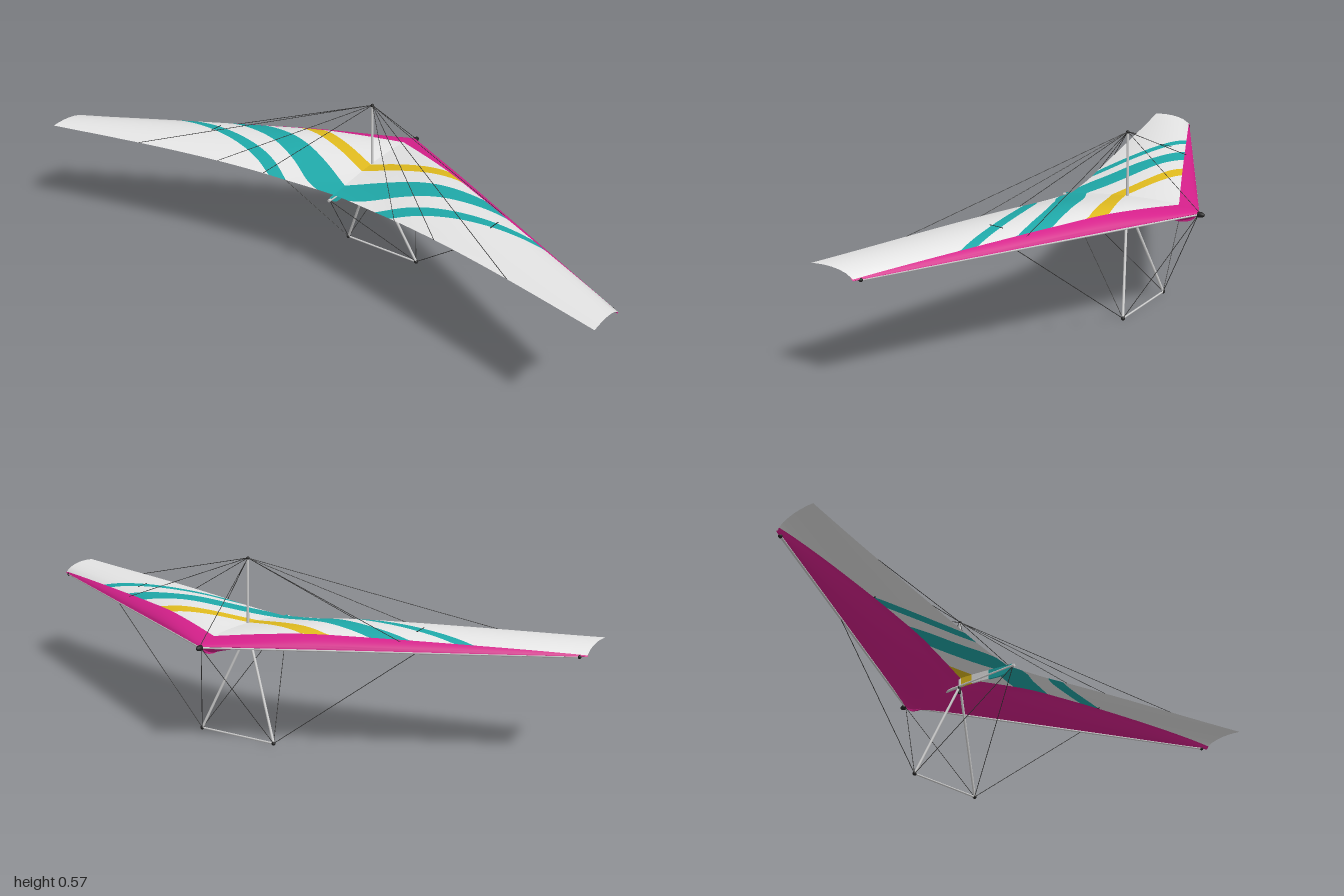
import * as THREE from 'three';

const mat = (name, color, side = THREE.FrontSide) => {
  const m = new THREE.MeshStandardMaterial({ color, side });
  m.name = name;
  return m;
};
const lerp = THREE.MathUtils.lerp;
const clamp = THREE.MathUtils.clamp;

// Smooth curve through [x, value] points, constant beyond both ends
function curve(pts) {
  const f = new THREE.CubicInterpolant(pts.map((p) => p[0]), pts.map((p) => p[1]), 1);
  return (x) => f.evaluate(x)[0];
}

// Planform and section rules, s = distance from the centre line
const leadZ = (s) => -0.325 + 0.525 * s;
const trailZ = (s) => 0.13 + 0.213 * Math.pow(s, 1.25);
const leadY = (s) => 0.342 + 0.005 * s;
const trailY = curve([[0, 0.342], [0.15, 0.349], [0.3, 0.359], [0.5, 0.367], [1, 0.373]]);
const camber = curve([[0, 0.022], [0.12, 0.035], [0.25, 0.043], [0.4, 0.039], [0.7, 0.027], [1, 0.015]]);

function sailY(s, z) {
  const c = clamp((z - leadZ(s)) / (trailZ(s) - leadZ(s)), 0, 1);
  return lerp(leadY(s), trailY(s), c) + camber(s) * Math.pow(c, 0.6) * (1 - c) / 0.347;
}

// Rear edge and height of the lower skin
const skinZ = (s) => -0.07 + 0.28 * s;
function skinY(s, z) {
  const u = clamp((z - leadZ(s)) / (skinZ(s) - leadZ(s)), 0, 1);
  const sag = 0.036 * Math.exp(-s / 0.12) + 0.002;
  return lerp(leadY(s), sailY(s, skinZ(s)) - 0.002, u * u) - sag * Math.sin(Math.PI * Math.pow(u, 0.75));
}

// Strip of cloth between two z curves on one half of the wing
function strip(zA, zB, heightAt, side, rows, front) {
  const cols = 100, pos = [], nor = [], idx = [], e = 0.004;
  for (let i = 0; i <= cols; i++) {
    const s = i / cols;
    for (let j = 0; j <= rows; j++) {
      const t = j / rows;
      const z = lerp(zA(s), zB(s), front ? t * t : t);
      pos.push(side * s, heightAt(s, z), z);
      const s0 = Math.max(s - e, 0), s1 = Math.min(s + e, 1);
      const z0 = Math.max(z - e, leadZ(s)), z1 = Math.min(z + e, trailZ(s));
      const dx = (heightAt(s1, z) - heightAt(s0, z)) / (s1 - s0);
      const dz = (heightAt(s, z1) - heightAt(s, z0)) / (z1 - z0);
      const n = new THREE.Vector3(-side * dx, 1, -dz).normalize();
      nor.push(n.x, n.y, n.z);
      if (i < cols && j < rows) {
        const a = i * (rows + 1) + j, b = a + rows + 1;
        if (side > 0) idx.push(a, a + 1, b, b, a + 1, b + 1);
        else idx.push(a, b, a + 1, b, b + 1, a + 1);
      }
    }
  }
  const g = new THREE.BufferGeometry();
  g.setAttribute('position', new THREE.Float32BufferAttribute(pos, 3));
  g.setAttribute('normal', new THREE.Float32BufferAttribute(nor, 3));
  g.setIndex(idx);
  return g;
}

// Slice of the cloth pocket that hangs around the keel, between two z positions
const pocketY = curve([[-0.315, 0.331], [-0.3, 0.317], [-0.28, 0.31], [-0.25, 0.307], [-0.23, 0.311],
  [-0.07, 0.33], [0, 0.326], [0.05, 0.32], [0.1, 0.315], [0.13, 0.319], [0.148, 0.334]]);
function pocketSlice(z0, z1) {
  const pts = [];
  for (let i = 0; i <= 10; i++) {
    const z = lerp(z0, z1, i / 10);
    pts.push(new THREE.Vector2(-z, pocketY(z)));
  }
  for (let i = 10; i >= 0; i--) {
    const z = lerp(z0, z1, i / 10);
    pts.push(new THREE.Vector2(-z, sailY(0, z) - 0.001));
  }
  const g = new THREE.ExtrudeGeometry(new THREE.Shape(pts), { depth: 0.006, bevelEnabled: false });
  return g.translate(0, 0, -0.003).rotateY(Math.PI / 2);
}

export function createModel() {
  const model = new THREE.Group();
  const white = mat('white cloth', 0xe4e4e4, THREE.DoubleSide);
  const magenta = mat('magenta cloth', 0xd4208a, THREE.DoubleSide);
  const teal = mat('teal cloth', 0x1fa8a8, THREE.DoubleSide);
  const yellow = mat('yellow cloth', 0xdfba1e, THREE.DoubleSide);
  const metal = mat('grey tubing', 0xcccccc);
  const black = mat('black fittings', 0x222222);
  const wire = mat('dark wire', 0x333333);

  const add = (name, geo, material, parent = model) => {
    const m = new THREE.Mesh(geo, material);
    m.name = name;
    parent.add(m);
    return m;
  };
  const V = (x, y, z) => new THREE.Vector3(x, y, z);
  const rod = (name, a, b, r, material, sides = 12) => {
    const d = b.clone().sub(a);
    const m = add(name, new THREE.CylinderGeometry(r, r, d.length(), sides), material);
    m.position.copy(a).add(b).multiplyScalar(0.5);
    m.quaternion.setFromUnitVectors(V(0, 1, 0), d.normalize());
  };
  const ball = (name, p, r) => {
    const m = add(name, new THREE.SphereGeometry(r, 16, 12), black);
    m.position.copy(p);
    return m;
  };

  // Edges of the coloured bands, front to back
  const bandFront = (s) => -0.255 + 0.457 * s;
  const inside = (pts) => {
    const f = curve(pts);
    return (s) => clamp(f(s), bandFront(s), trailZ(s));
  };
  const edges = [
    leadZ,
    bandFront,
    inside([[0, -0.067], [0.1, -0.103], [0.2, -0.134], [0.3, -0.157]]),
    inside([[0, -0.02], [0.1, -0.058], [0.2, -0.088], [0.3, -0.11]]),
    inside([[0, 0.073], [0.1, 0.022], [0.2, -0.018], [0.3, -0.043], [0.45, -0.064]]),
    inside([[0, 0.15], [0.1, 0.124], [0.2, 0.07], [0.32, 0.022], [0.44, -0.002], [0.58, -0.015]]),
    inside([[0.15, 0.165], [0.25, 0.108], [0.35, 0.075], [0.5, 0.051], [0.7, 0.041]]),
    inside([[0.2, 0.18], [0.3, 0.131], [0.4, 0.1], [0.53, 0.078], [0.74, 0.064]]),
    trailZ,
  ];
  const bands = [
    ['leadingEdgeBand', magenta], ['frontPanel', white], ['yellowChevron', yellow],
    ['middlePanel', white], ['wideTealBand', teal], ['rearPanel', white],
    ['narrowTealBand', teal], ['trailingPanel', white],
  ];

  for (const side of [1, -1]) {
    // Sail cloth and lower skin
    const wing = new THREE.Group();
    wing.name = side > 0 ? 'leftWing' : 'rightWing';
    model.add(wing);
    bands.forEach(([name, m], i) =>
      add(name, strip(edges[i], edges[i + 1], sailY, side, i === 0 ? 10 : 6, i === 0), m, wing));
    add('lowerSkin', strip(leadZ, skinZ, skinY, side, 16, true), magenta, wing);

    // Leading edge tube with its tip
    const tip = V(side * 0.98, 0.345, 0.193);
    rod('leadingEdgeTube', V(0, 0.338, -0.322), tip, 0.0035, metal);
    ball('tubeTip', tip, 0.006);
    rod('sailPin', V(side * 0.53, sailY(0.53, 0.04), 0.04),
      V(side * 0.53, sailY(0.53, 0.085), 0.085), 0.0018, black, 6);

    // Control frame upright and corner
    const corner = V(side * 0.137, 0.009, -0.135);
    rod('upright', V(side * 0.006, 0.322, -0.076), corner, 0.0042, metal);
    ball('controlCorner', corner, 0.0065);

    // Lower rigging
    const junction = V(side * 0.57, 0.346, -0.024);
    const lowerEnds = [V(0, 0.335, -0.32), V(0, 0.333, 0.152), junction];
    for (const p of lowerEnds) rod('lowerWire', corner, p, 0.0011, wire, 6);

    // Upper rigging to the wing
    const mastTop = V(0, 0.568, -0.075);
    rod('upperSideWire', mastTop, junction, 0.001, wire, 6);
    for (const s of [0.25, 0.41, 0.69]) {
      const z = trailZ(s);
      rod('trailingWire', mastTop, V(side * s, sailY(s, z), z), 0.001, wire, 6);
    }
  }

  // Keel with its cloth pocket
  rod('keelTube', V(0, 0.335, -0.325), V(0, 0.334, 0.158), 0.0048, metal);
  add('pocketRear', pocketSlice(0.052, 0.148), teal);
  add('pocketMiddle', pocketSlice(-0.02, 0.052), white);
  add('pocketFront', pocketSlice(-0.067, -0.02), yellow);
  add('pocketNose', pocketSlice(-0.313, -0.235), magenta);

  // Mast and base bar
  rod('mast', V(0, 0.33, -0.075), V(0, 0.565, -0.075), 0.0042, metal);
  ball('mastCap', V(0, 0.567, -0.075), 0.0055);
  rod('frontUpperWire', V(0, 0.568, -0.075), V(0, 0.342, -0.328), 0.001, wire, 6);
  rod('baseBar', V(-0.137, 0.009, -0.135), V(0.137, 0.009, -0.135), 0.003, metal);

  // Nose cap and frame hub
  ball('noseCap', V(0, 0.338, -0.325), 0.009).scale.set(1, 1, 2);
  rod('frameHub', V(0, 0.31, -0.076), V(0, 0.334, -0.076), 0.005, black);

  return model;
}
